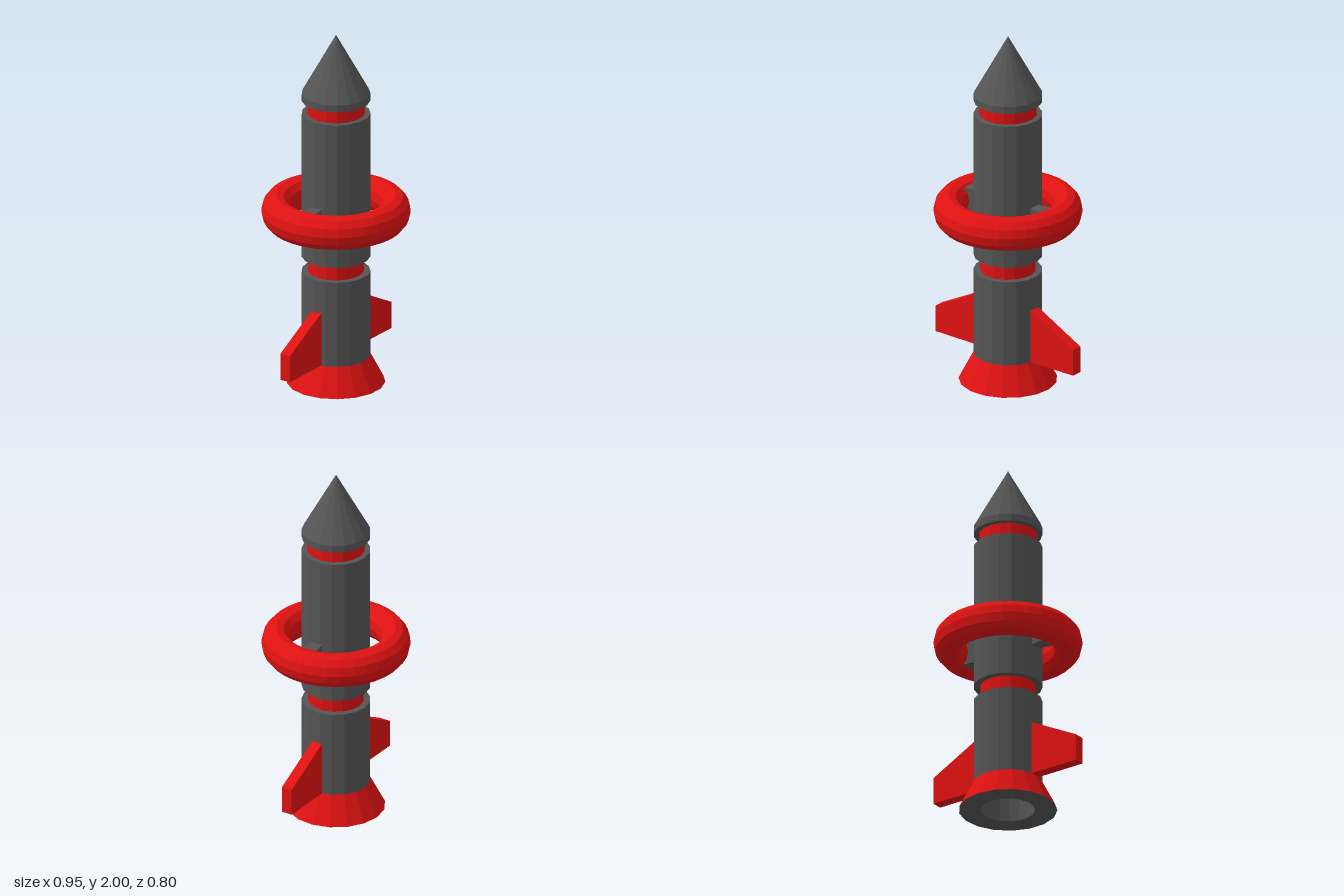
import * as THREE from 'three';

const SIDES = 17;
const grey = new THREE.MeshStandardMaterial({ color: 0x555555, flatShading: true });
const red = new THREE.MeshStandardMaterial({ color: 0xe01212, flatShading: true });

export function createModel() {
  const model = new THREE.Group();

  const add = (name, geometry, material) => {
    const mesh = new THREE.Mesh(geometry, material);
    mesh.name = name;
    model.add(mesh);
    return mesh;
  };

  // Turned part from [radius, height] pairs, listed upwards along the outside
  const turn = (name, profile, material, sides = SIDES) =>
    add(name, new THREE.LatheGeometry(
      profile.map(([r, y]) => new THREE.Vector2(r, y)), sides, Math.PI), material);

  // Flat outline extruded symmetrically about its own plane
  const slab = (points, depth) => {
    const shape = new THREE.Shape(points.map(([x, y]) => new THREE.Vector2(x, y)));
    return new THREE.ExtrudeGeometry(shape, { depth, bevelEnabled: false })
      .translate(0, 0, -depth / 2);
  };

  // Exhaust: flared skirt, with a grey underside and bore
  turn('exhaustSkirt', [[0.265, 0], [0.185, 0.155]], red);
  turn('exhaustBore', [[0, 0.64], [0.145, 0.64], [0.145, 0], [0.265, 0]], grey);

  // Body sections, joined by recessed necks
  turn('lowerBody', [[0.185, 0.155], [0.185, 0.64], [0.15, 0.64]], grey);
  turn('lowerNeck', [[0.15, 0.64], [0.15, 0.725]], red);
  turn('upperBody', [[0.15, 0.725], [0.185, 0.725], [0.185, 1.55], [0.155, 1.55]], grey);
  turn('upperNeck', [[0.155, 1.55], [0.155, 1.625]], red);
  turn('noseCone', [[0.155, 1.625], [0.185, 1.625], [0.185, 1.665], [0, 2]], grey);

  // Ring around the body, with an oval section
  const section = [];
  for (let i = 0; i <= 12; i++) {
    const a = (i / 12) * Math.PI * 2;
    section.push([0.32 + 0.08 * Math.cos(a), 0.985 + 0.095 * Math.sin(a)]);
  }
  turn('ring', section, red, 2 * SIDES);

  // Wedge struts holding the ring, and swept fins, on both sides
  for (const [side, angle] of [['left', 0], ['right', Math.PI]]) {
    const strut = add(side + 'Strut',
      slab([[0.16, -0.027], [0.3, -0.05], [0.3, 0.05], [0.16, 0.027]], 0.14)
        .rotateX(-Math.PI / 2), grey);
    strut.position.y = 0.985;
    strut.rotation.y = angle;

    const fin = add(side + 'Fin',
      slab([[0.17, 0.155], [0.473, 0.155], [0.473, 0.305], [0.185, 0.455], [0.17, 0.455]], 0.062), red);
    fin.rotation.y = angle;
  }

  return model;
}
